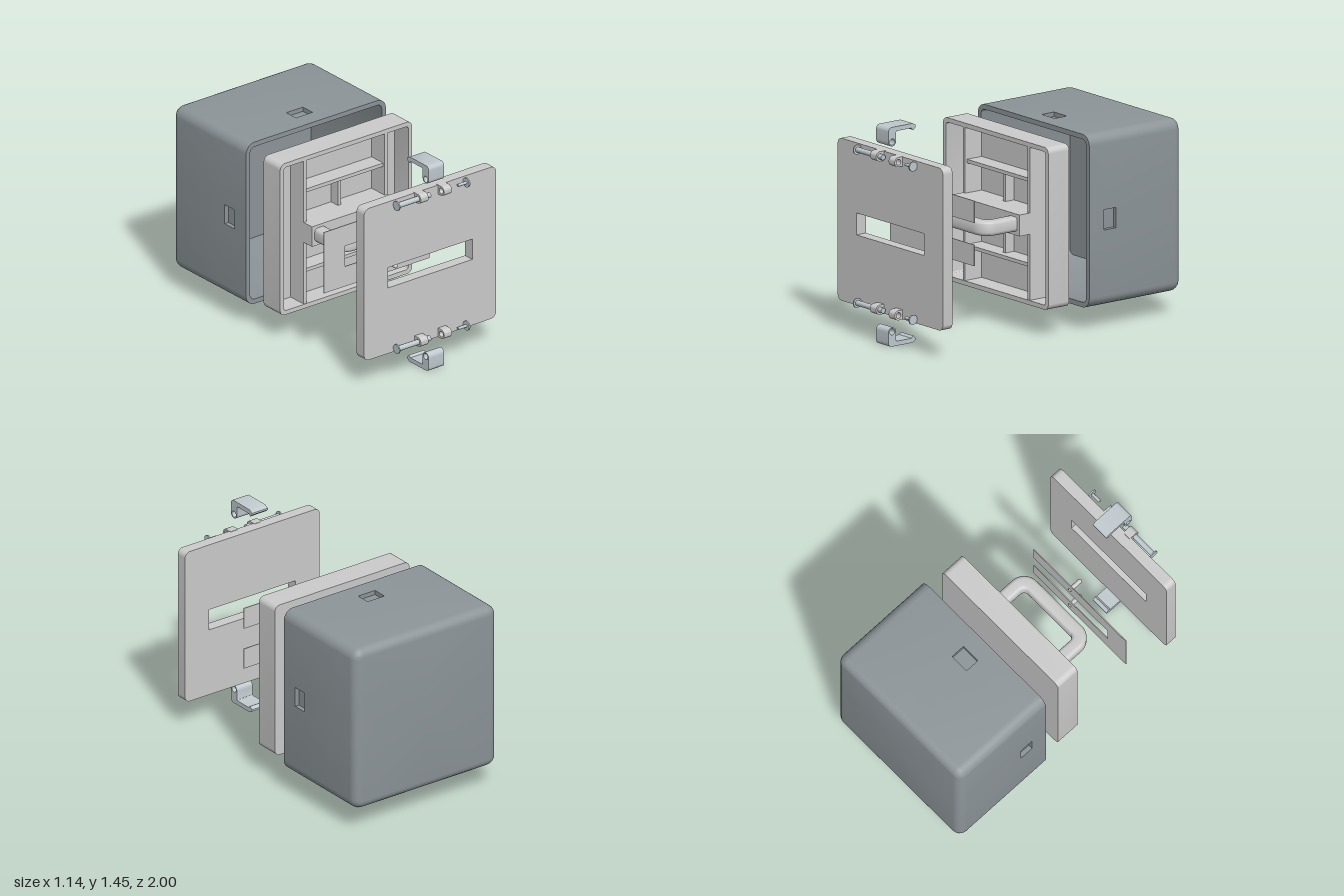
import * as THREE from 'three';
import { toCreasedNormals } from 'three/addons/utils/BufferGeometryUtils.js';

const MID = 0.7225; // height of the common centre line
const grey = new THREE.MeshStandardMaterial({ color: 0xcccccc });
const dark = new THREE.MeshStandardMaterial({ color: 0x8d9599 });
const steel = new THREE.MeshStandardMaterial({ color: 0xbfc9ce });
const darkInside = new THREE.MeshStandardMaterial({ color: 0x8d9599, side: THREE.BackSide });

function add(parent, name, geometry, x = 0, y = 0, z = 0, material = grey) {
  const mesh = new THREE.Mesh(geometry, material);
  mesh.name = name;
  mesh.position.set(x, y, z);
  parent.add(mesh);
  return mesh;
}

// Box given by its limits
function addBox(parent, name, [x0, x1], [y0, y1], [z0, z1], material) {
  return add(parent, name, new THREE.BoxGeometry(x1 - x0, y1 - y0, z1 - z0),
    (x0 + x1) / 2, (y0 + y1) / 2, (z0 + z1) / 2, material);
}

// Cylinder along x
function addRod(parent, name, x0, x1, r, y, z, material) {
  const g = new THREE.CylinderGeometry(r, r, x1 - x0, 24).rotateZ(Math.PI / 2);
  return add(parent, name, g, (x0 + x1) / 2, y, z, material);
}

function roundedRect(w, h, r, Type = THREE.Shape) {
  const s = new Type(), a = w / 2 - r, b = h / 2 - r;
  s.absarc(a, b, r, 0, Math.PI / 2);
  s.absarc(-a, b, r, Math.PI / 2, Math.PI);
  s.absarc(-a, -b, r, Math.PI, Math.PI * 1.5);
  s.absarc(a, -b, r, Math.PI * 1.5, Math.PI * 2);
  s.closePath();
  return s;
}

function rectHole(x0, x1, y0, y1) {
  return new THREE.Path([[x0, y0], [x0, y1], [x1, y1], [x1, y0]].map(p => new THREE.Vector2(...p)));
}

function extrude(shape, depth, options = {}) {
  const g = new THREE.ExtrudeGeometry(shape, { depth, bevelEnabled: false, curveSegments: 10, ...options });
  return toCreasedNormals(g, 0.6);
}

// Housing: rounded-square rings lofted from the inner back, round the rim, to the outer back
function housingGeometry() {
  const half = 0.57, corner = 0.07, win = 0.067, steps = 6, count = 4 * (steps + 3);
  const rings = [[half, -0.967], [0.033, -0.967], [0.033, -0.24], [0, -0.24], [0, -0.36], [0, -0.46], [0, -0.94]];
  for (let i = 1; i <= 6; i++) {
    const t = i / 6 * Math.PI / 2;
    rings.push([0.06 * (1 - Math.cos(t)), -0.94 - 0.06 * Math.sin(t)]);
  }
  rings.push([half, -1]);
  const pos = [], index = [];
  for (const [inset, z] of rings) {
    const h = half - inset, r = Math.min(h, Math.max(corner - inset, 0.005));
    for (let k = 0; k < 4; k++) {
      const c = Math.cos(k * Math.PI / 2), s = Math.sin(k * Math.PI / 2), pts = [];
      for (let i = 0; i <= steps; i++) {
        const t = i / steps * Math.PI / 2;
        pts.push([h - r + r * Math.cos(t), h - r + r * Math.sin(t)]);
      }
      pts.push([Math.min(win, h), h], [-Math.min(win, h), h]);
      for (const [x, y] of pts) pos.push(x * c - y * s, x * s + y * c, z);
    }
  }
  for (let j = 0; j < rings.length - 1; j++) {
    for (let i = 0; i < count; i++) {
      if (j === 4 && i % (steps + 3) === steps + 1) continue; // window
      const n = (i + 1) % count, a = j * count + i, b = j * count + n;
      index.push(a, a + count, b, b, a + count, b + count);
    }
  }
  const g = new THREE.BufferGeometry();
  g.setAttribute('position', new THREE.Float32BufferAttribute(pos, 3));
  g.setIndex(index);
  return toCreasedNormals(g, 0.6);
}

function buildHousing() {
  const housing = new THREE.Group();
  housing.name = 'housing';
  housing.position.y = MID + 0.0025;
  add(housing, 'housingShell', housingGeometry(), 0, 0, 0, dark);
  // Latch pockets, one in each side
  for (let k = 0; k < 4; k++) {
    const g = new THREE.BoxGeometry(0.03, 0.134, 0.1).translate(0.555, 0, -0.41).rotateZ(k * Math.PI / 2);
    add(housing, 'latchPocket', g, 0, 0, 0, darkInside);
  }
  return housing;
}

function buildTray() {
  const tray = new THREE.Group();
  tray.name = 'tray';
  const rim = roundedRect(1.075, 1.07, 0.04);
  add(tray, 'trayBack', extrude(rim, 0.03), 0, MID, -0.1);
  const wall = roundedRect(1.075, 1.07, 0.04);
  wall.holes.push(roundedRect(1.015, 1.01, 0.02, THREE.Path));
  add(tray, 'trayWall', extrude(wall, 0.14), 0, MID, -0.07);
  for (const s of [-1, 1]) {
    const x = s * 0.33, y = MID + s * 0.28;
    addBox(tray, 'partition', [x - 0.012, x + 0.012], [0.21, 1.235], [-0.08, 0.065]);
    addBox(tray, 'shelf', [-0.33, 0.33], [y - 0.012, y + 0.012], [-0.08, 0.05]);
    addBox(tray, 'shelfRib', [-0.012, 0.012], [MID + s * 0.17 - 0.1, MID + s * 0.17 + 0.1], [-0.08, 0]);
  }
  addBox(tray, 'handleBase', [-0.342, 0.342], [0.652, 0.793], [-0.08, 0.15]);

  // U-shaped grip, drawn in plan and given rounded edges
  const u = new THREE.Shape();
  u.moveTo(0.32, 0.14);
  u.lineTo(0.32, 0.31);
  u.absarc(0.21, 0.31, 0.11, 0, Math.PI / 2);
  u.absarc(-0.21, 0.31, 0.11, Math.PI / 2, Math.PI);
  u.lineTo(-0.32, 0.12);
  u.lineTo(-0.23, 0.12);
  u.lineTo(-0.23, 0.295);
  u.absarc(-0.195, 0.295, 0.035, Math.PI, Math.PI / 2, true);
  u.absarc(0.195, 0.295, 0.035, Math.PI / 2, 0, true);
  u.lineTo(0.23, 0.12);
  u.lineTo(0.32, 0.12);
  const grip = extrude(u, 0.045, {
    bevelEnabled: true, bevelSize: 0.025, bevelThickness: 0.025, bevelOffset: -0.025, bevelSegments: 5,
  });
  grip.rotateX(Math.PI / 2).translate(0, 0.0225, 0);
  add(tray, 'handleGrip', grip, 0, MID + 0.002, 0);
  return tray;
}

// Thin slider, slotted open towards +x, with two pins
function buildSlider() {
  const slider = new THREE.Group();
  slider.name = 'slider';
  const outline = [[-0.53, 0.51], [0.33, 0.51], [0.33, 0.65], [-0.36, 0.65],
    [-0.36, 0.795], [0.33, 0.795], [0.33, 0.94], [-0.53, 0.94]];
  const shape = new THREE.Shape(outline.map(p => new THREE.Vector2(...p)));
  add(slider, 'sliderPlate', extrude(shape, 0.006), 0, 0, 0.504);
  for (const y of [0.582, 0.867]) {
    const pin = new THREE.CapsuleGeometry(0.015, 0.08, 6, 16).rotateX(Math.PI / 2);
    add(slider, 'sliderPin', pin, -0.01, y, 0.55);
  }
  return slider;
}

function buildFrontPanel() {
  const panel = new THREE.Group();
  panel.name = 'frontPanel';
  const face = roundedRect(1.075, 1.07, 0.04);
  face.holes.push(rectHole(-0.345, 0.345, -0.072, 0.072));
  add(panel, 'panelPlate', extrude(face, 0.078), 0, MID, 0.855);
  for (const y of [MID - 0.505, MID + 0.505]) {
    // Hinge knuckles with a bore, joined to the panel
    const d = new THREE.Shape();
    d.moveTo(0.92, -0.032);
    d.lineTo(0.966, -0.032);
    d.absarc(0.966, 0, 0.032, -Math.PI / 2, Math.PI / 2);
    d.lineTo(0.92, 0.032);
    d.holes.push(new THREE.Path().absarc(0.966, 0, 0.019, 0, Math.PI * 2, true));
    for (const x of [-0.095, 0.095]) {
      const g = extrude(d, 0.062).rotateY(-Math.PI / 2).translate(0.031, 0, 0);
      add(panel, 'hingeKnuckle', g, x, y, 0);
    }
    addRod(panel, 'hingePin', -0.295, -0.03, 0.018, y, 0.966, steel);
    addRod(panel, 'hingePinHead', -0.302, -0.293, 0.032, y, 0.966, steel);
    addRod(panel, 'retainerPin', 0.2, 0.272, 0.01, y, 0.966, steel);
    addRod(panel, 'retainerHead', 0.267, 0.277, 0.032, y, 0.966, steel);
  }
  return panel;
}

// Latch: side profile as (z, y), swept across x
function latchGeometry() {
  const s = new THREE.Shape();
  s.moveTo(0.998, 1.35);
  s.lineTo(0.998, 1.415);
  s.quadraticCurveTo(0.998, 1.445, 0.968, 1.445);
  s.lineTo(0.8, 1.445);
  s.lineTo(0.775, 1.43);
  s.lineTo(0.775, 1.418);
  s.lineTo(0.795, 1.4);
  s.lineTo(0.81, 1.415);
  s.lineTo(0.925, 1.415);
  s.quadraticCurveTo(0.936, 1.415, 0.936, 1.402);
  s.lineTo(0.936, 1.35);
  s.absarc(0.967, 1.35, 0.031, Math.PI, Math.PI * 2);
  s.holes.push(new THREE.Path().absarc(0.967, 1.348, 0.021, 0, Math.PI * 2, true));
  return extrude(s, 0.126).rotateY(-Math.PI / 2).translate(0.063, -MID, 0);
}

export function createModel() {
  const model = new THREE.Group();
  model.name = 'explodedCase';
  model.add(buildHousing(), buildTray(), buildSlider(), buildFrontPanel());
  const latch = latchGeometry();
  add(model, 'topLatch', latch, 0, MID, 0, steel);
  add(model, 'bottomLatch', latch, 0, MID, 0, steel).rotation.z = Math.PI;
  return model;
}
